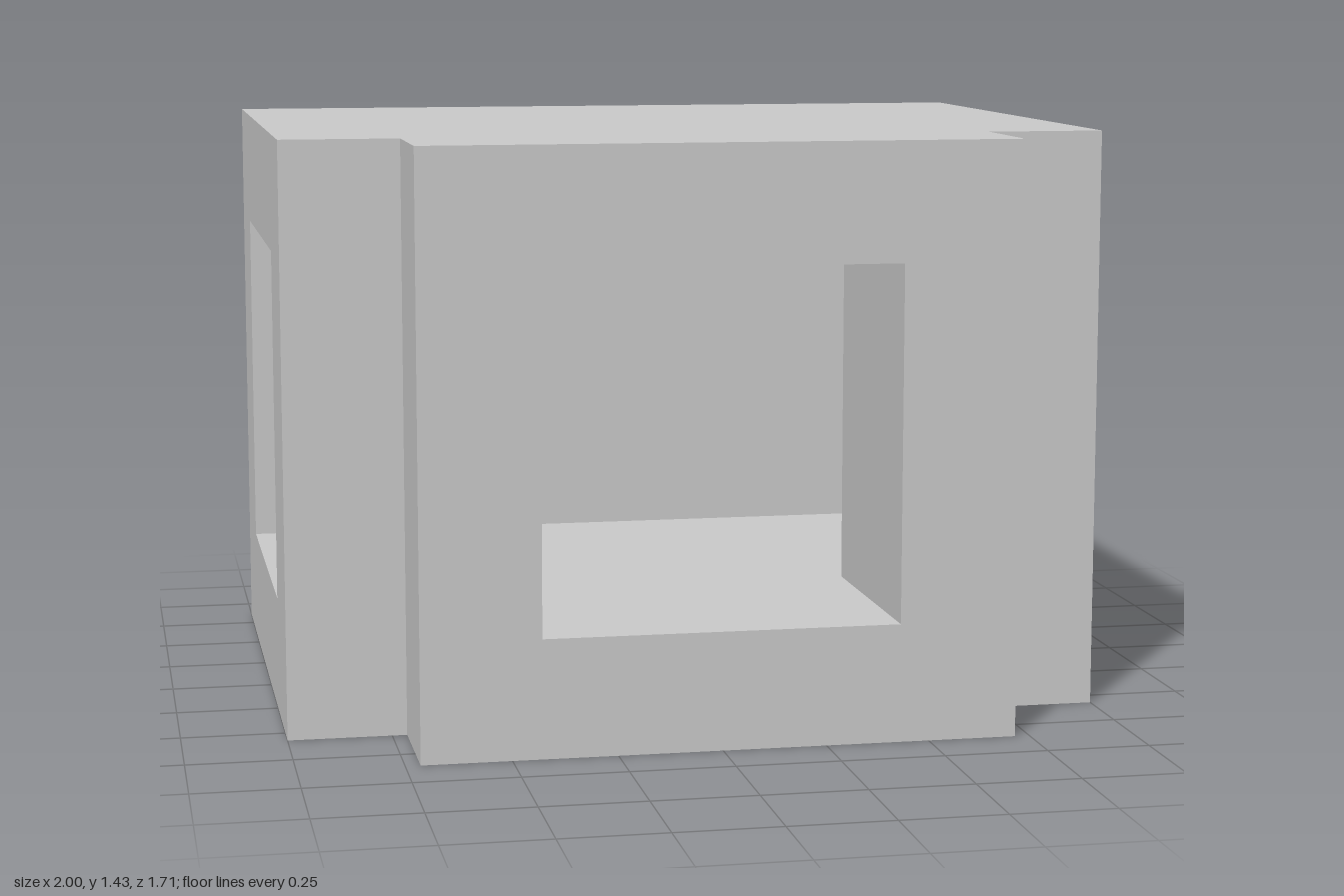
import * as THREE from 'three';
import { mergeGeometries } from 'three/addons/utils/BufferGeometryUtils.js';

const U = 1 / 7; // grid module: the block is 14 x 10 x 12 modules
const HEIGHT = 10, FLOOR = 2, CEILING = 8;

// Plan outlines as [x, z], in modules
const OUTER = [[-5, 6], [5, 6], [5, 4], [7, 4], [7, -6], [-7, -6], [-7, 4], [-5, 4]];
const TUNNEL = [[-7, -4], [7, -4], [7, 2], [3, 2], [3, 6], [-3, 6], [-3, 2], [-7, 2]];

const polygon = (points) => new THREE.Shape(points.map(([x, y]) => new THREE.Vector2(x, y)));
const rectangle = (u0, u1, y0, y1) => [[u0, y0], [u1, y0], [u1, y1], [u0, y1]];

// Upright face from plan point a to b; opening = [start, end] along its length
function wall(a, b, y0, y1, opening) {
  const along = new THREE.Vector3(b[0] - a[0], 0, b[1] - a[1]);
  const shape = polygon(rectangle(0, along.length(), y0, y1));
  if (opening) shape.holes.push(polygon(rectangle(...opening, FLOOR, CEILING)));
  along.normalize();
  const up = new THREE.Vector3(0, 1, 0);
  const m = new THREE.Matrix4()
    .makeBasis(along, up, along.clone().cross(up))
    .setPosition(a[0], 0, a[1]);
  return new THREE.ShapeGeometry(shape).applyMatrix4(m);
}

// Level face with the given plan; facing = 1 looks up, -1 looks down
function level(plan, y, facing) {
  return new THREE.ShapeGeometry(polygon(plan.map(([x, z]) => [x, -facing * z])))
    .rotateX(-facing * Math.PI / 2)
    .translate(0, y, 0);
}

export function createModel() {
  const group = new THREE.Group();
  group.name = 'tunnelJunction';
  const material = new THREE.MeshStandardMaterial({ color: 0xcccccc, flatShading: true });
  const add = (name, faces) => {
    const mesh = new THREE.Mesh(mergeGeometries(faces).scale(U, U, U), material);
    mesh.name = name;
    group.add(mesh);
  };

  // Outside: stepped block with one opening in the front and one in each side
  const openings = { 0: [2, 8], 3: [2, 8], 5: [2, 8] };
  add('outerShell', [
    ...OUTER.map((p, i) => wall(p, OUTER[(i + 1) % OUTER.length], 0, HEIGHT, openings[i])),
    level(OUTER, HEIGHT, 1),
    level(OUTER, 0, -1),
  ]);

  // Inside: T-shaped tunnel joining the three openings; its mouths stay open
  const mouths = [1, 4, 7];
  const sides = TUNNEL.map((p, i) => [p, TUNNEL[(i + 1) % TUNNEL.length]])
    .filter((_, i) => !mouths.includes(i));
  add('tunnelWalls', sides.map(([a, b]) => wall(a, b, FLOOR, CEILING)));
  add('tunnelFloor', [level(TUNNEL, FLOOR, 1)]);
  add('tunnelCeiling', [level(TUNNEL, CEILING, -1)]);

  return group;
}
